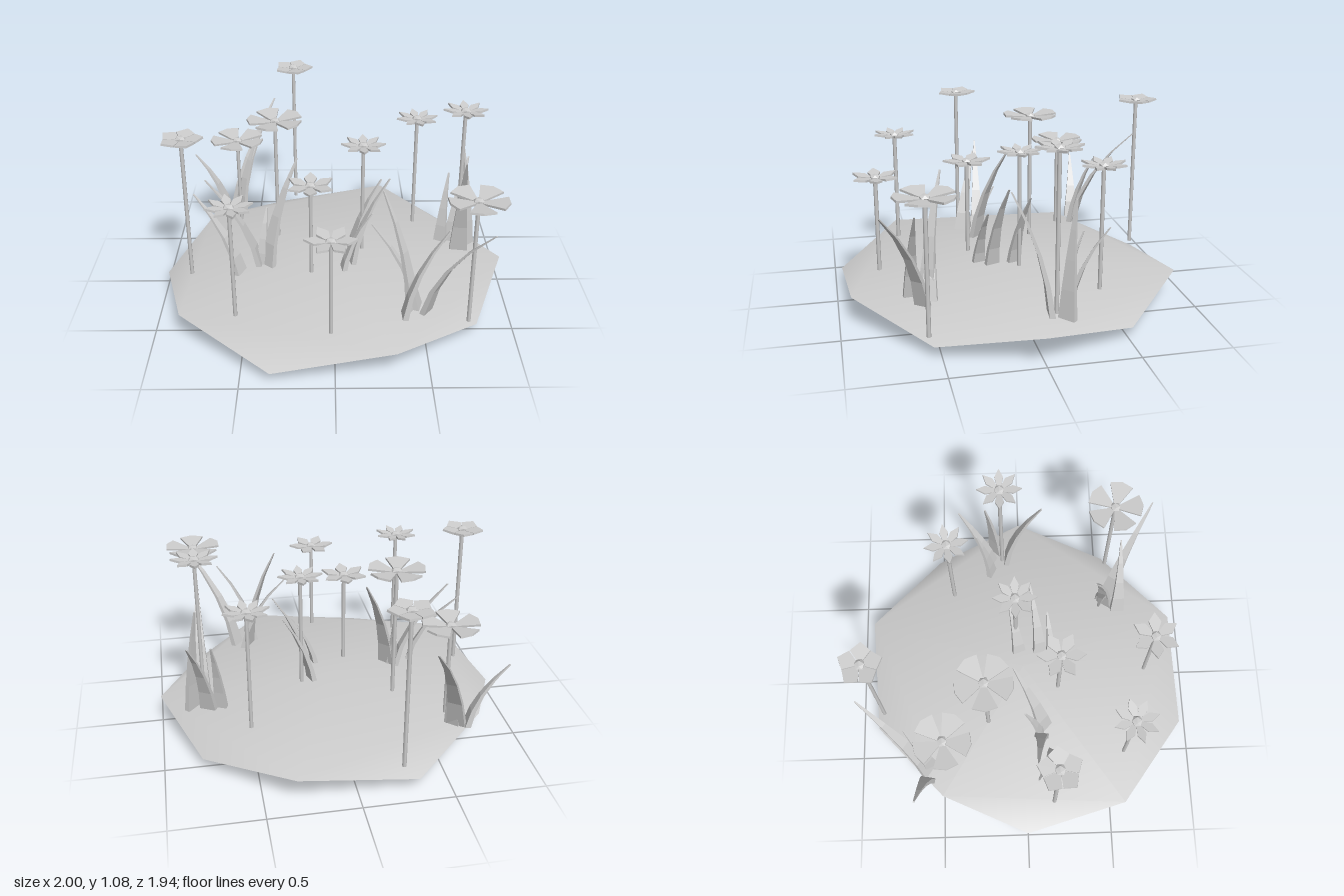
import * as THREE from 'three';
import { toCreasedNormals } from 'three/addons/utils/BufferGeometryUtils.js';

const V = (x, y, z) => new THREE.Vector3(x, y, z);

// Flat plate petal pointing along +x, tilted up a little at the tip
function petalGeometry(points, tilt) {
  const shape = new THREE.Shape(points.map(([x, y]) => new THREE.Vector2(x, y)));
  const geo = new THREE.ExtrudeGeometry(shape, { depth: 0.012, bevelEnabled: false });
  return geo.rotateX(-Math.PI / 2).rotateZ(tilt);
}

// Kite petal from inner radius to tip
const kite = (mid, half, tip) =>
  [[0.015, -0.008], [mid, -half], [tip, 0], [mid, half], [0.015, 0.008]];

// Tapered, bent grass blade: rectangular sections swept along a curve
function bladeGeometry(base, tip, width) {
  const bend = V(tip.x - base.x, 0, tip.z - base.z);
  const dir = bend.clone().normalize();
  const side = V(0, 1, 0).cross(dir);
  const mid = base.clone().addScaledVector(bend, 0.16);
  mid.y = base.y + (tip.y - base.y) * 0.52;
  const curve = new THREE.QuadraticBezierCurve3(base, mid, tip);
  const steps = 4, pos = [], index = [];
  for (let i = 0; i <= steps; i++) {
    const t = i / steps, p = curve.getPoint(t);
    const w = width / 2 * (1 - t) + 0.004, d = 0.012 * (1 - t) + 0.004;
    for (const [a, b] of [[1, -1], [1, 1], [-1, 1], [-1, -1]]) {
      const q = p.clone().addScaledVector(dir, a * d).addScaledVector(side, b * w);
      pos.push(q.x, q.y, q.z);
    }
  }
  for (let i = 0; i < steps; i++) {
    for (let j = 0; j < 4; j++) {
      const a = i * 4 + j, b = i * 4 + (j + 1) % 4;
      index.push(a, b, b + 4, a, b + 4, a + 4);
    }
  }
  const e = steps * 4;
  index.push(e, e + 1, e + 2, e, e + 2, e + 3, 0, 2, 1, 0, 3, 2);
  const geo = new THREE.BufferGeometry();
  geo.setAttribute('position', new THREE.Float32BufferAttribute(pos, 3));
  geo.setIndex(index);
  const flat = geo.toNonIndexed();
  flat.computeVertexNormals();
  return flat;
}

// Flattened twenty-sided mound with slightly uneven rings
function groundGeometry() {
  const ring = [[1, 0], [0.79, 0.54], [0.32, 0.93], [-0.34, 0.96], [-0.85, 0.58],
    [-1, 0], [-0.78, -0.5], [-0.33, -0.9], [0.33, -0.93], [0.79, -0.52]];
  const pos = [0, 0.215, 0, 0, 0, 0];
  ring.forEach(([x, z], i) => pos.push(x, i % 2 ? 0.063 : 0.163, z));
  const index = [], at = (i) => 2 + (i + 10) % 10;
  for (let i = 0; i < 10; i += 2) {
    index.push(0, at(i + 2), at(i), at(i), at(i + 2), at(i + 1));
    index.push(1, at(i - 1), at(i + 1), at(i - 1), at(i), at(i + 1));
  }
  const geo = new THREE.BufferGeometry();
  geo.setAttribute('position', new THREE.Float32BufferAttribute(pos, 3));
  geo.setIndex(index);
  return toCreasedNormals(geo, 0.9);
}

export function createModel() {
  const model = new THREE.Group();
  model.name = 'flowerPatch';
  const grey = new THREE.MeshStandardMaterial({ color: 0xcccccc });
  grey.name = 'light grey';
  const add = (parent, name, geo) => {
    const mesh = new THREE.Mesh(geo, grey);
    mesh.name = name;
    parent.add(mesh);
    return mesh;
  };

  add(model, 'ground', groundGeometry());

  // Flower kinds: petal count and shape
  const kinds = {
    broad: { count: 5, geo: petalGeometry([[0.02, -0.012], [0.145, -0.068], [0.165, 0], [0.145, 0.068], [0.02, 0.012]], 0.14) },
    star: { count: 5, geo: petalGeometry(kite(0.08, 0.054, 0.125), 0.14) },
    six: { count: 6, geo: petalGeometry(kite(0.088, 0.036, 0.142), 0.14) },
    eight: { count: 8, geo: petalGeometry(kite(0.08, 0.025, 0.13), 0.16) },
  };
  const heart = new THREE.IcosahedronGeometry(0.032, 0).scale(1, 0.6, 1);

  // kind, x, z, head height, stem foot height, turn in degrees
  const flowers = [
    ['star', -0.83, 0.16, 1.01, 0.16, 5],
    ['star', -0.25, -0.86, 1.04, 0.13, 70],
    ['broad', -0.59, -0.46, 0.715, 0.16, 45],
    ['broad', -0.34, -0.22, 0.95, 0.17, 110],
    ['broad', 0.74, 0.56, 0.84, 0.10, -90],
    ['eight', 0.51, -0.42, 0.875, 0.16, 10],
    ['eight', 0.75, -0.11, 1.055, 0.15, 0],
    ['eight', 0.17, -0.04, 0.875, 0.18, 0],
    ['six', -0.13, 0.21, 0.75, 0.18, 90],
    ['eight', -0.54, 0.59, 0.825, 0.15, 15],
    ['six', -0.02, 0.75, 0.72, 0.15, 0],
  ];
  for (const [kind, x, z, y, foot, turn] of flowers) {
    const flower = new THREE.Group();
    flower.name = 'flower';
    flower.position.set(x, 0, z);
    add(flower, 'stem', new THREE.CylinderGeometry(0.012, 0.012, y - foot, 6)).position.y = (y + foot) / 2;
    add(flower, 'flowerCentre', heart).position.y = y + 0.013;
    const { count, geo } = kinds[kind];
    for (let i = 0; i < count; i++) {
      const petal = add(flower, 'petal', geo);
      petal.position.y = y - 0.005;
      petal.rotation.y = turn * Math.PI / 180 + i * Math.PI * 2 / count;
    }
    model.add(flower);
  }

  // Grass tufts: base x, z, then tip x, y, z and width
  const tufts = [
    [[-0.62, -0.58, -0.38, 0.82, -0.92, 0.1], [-0.68, -0.59, -0.88, 0.55, -0.63, 0.08], [-0.6, -0.57, -0.5, 0.62, -0.68, 0.08]],
    [[-0.39, 0.12, -0.21, 0.8, -0.06, 0.1], [-0.42, 0.1, -0.39, 0.51, 0.0, 0.07], [-0.43, 0.1, -0.73, 0.72, 0.06, 0.08], [-0.54, 0.18, -0.8, 0.63, 0.06, 0.09]],
    [[0.1, 0.11, 0.32, 0.72, 0.05, 0.08], [0.05, 0.18, 0.22, 0.55, 0.15, 0.07], [0.1, -0.02, 0.28, 0.65, -0.08, 0.08]],
    [[0.43, 0.53, 0.26, 0.84, 0.42, 0.09], [0.46, 0.52, 0.2, 0.65, 0.44, 0.08], [0.5, 0.56, 0.8, 0.78, 0.79, 0.08], [0.38, 0.61, 0.6, 0.7, 0.6, 0.08]],
    [[0.76, -0.08, 0.74, 0.85, 0.13, 0.1], [0.73, -0.18, 0.83, 0.66, -0.36, 0.09], [0.82, -0.15, 0.77, 0.8, -0.2, 0.09], [0.66, -0.18, 0.7, 0.6, -0.26, 0.07]],
  ];
  for (const blades of tufts) {
    const tuft = new THREE.Group();
    tuft.name = 'grassTuft';
    for (const [bx, bz, tx, ty, tz, w] of blades) {
      add(tuft, 'grassBlade', bladeGeometry(V(bx, 0.165, bz), V(tx, ty, tz), w));
    }
    model.add(tuft);
  }
  return model;
}
